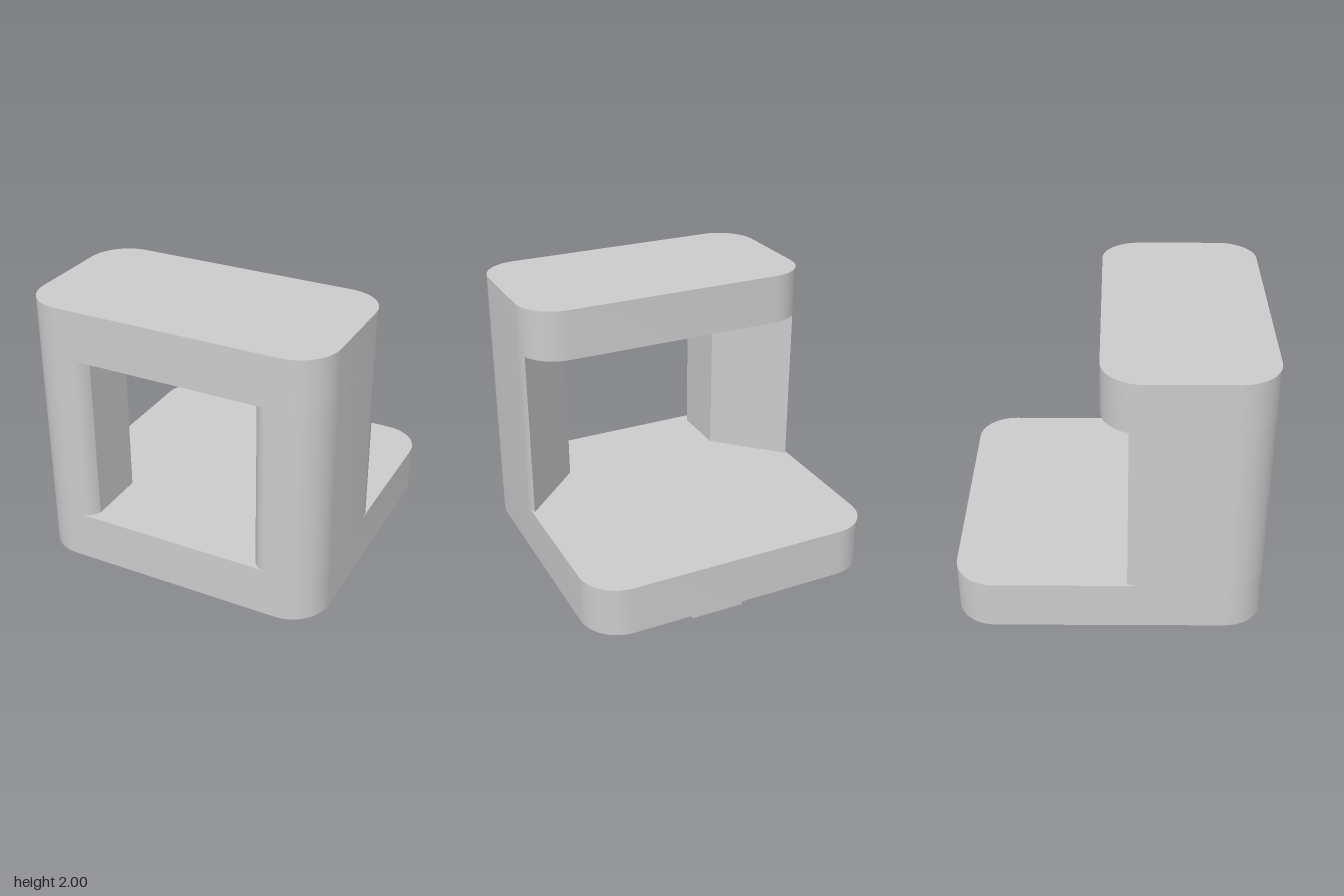
import * as THREE from 'three';
import { toCreasedNormals } from 'three/addons/utils/BufferGeometryUtils.js';

const HALF = 0.965; // half width and half depth
const R = 0.25; // plan corner radius
const BASE_Y = 0.26, SILL_Y = 0.58, LINTEL_Y = 1.68, TOP_Y = 2;

const material = new THREE.MeshStandardMaterial({ color: 0xcccccc });

// Points along an arc in plan (x, z), angles in degrees
function arc(cx, cz, r, from, to, steps = 12) {
  return Array.from({ length: steps + 1 }, (_, i) => {
    const a = THREE.MathUtils.degToRad(from + (to - from) * i / steps);
    return new THREE.Vector2(cx + r * Math.cos(a), cz + r * Math.sin(a));
  });
}

// Extrude a plan outline (x, z) upward between two heights
function slab(name, points, bottom, top) {
  const geometry = new THREE.ExtrudeGeometry(new THREE.Shape(points), {
    depth: top - bottom, bevelEnabled: false,
  });
  geometry.rotateX(Math.PI / 2).translate(0, top, 0);
  const mesh = new THREE.Mesh(toCreasedNormals(geometry, Math.PI / 7), material);
  mesh.name = name;
  return mesh;
}

// Rounded rectangle in plan, full width, from zBack to the front
function plateOutline(zBack) {
  const x = HALF - R, front = HALF - R, back = zBack + R;
  return [
    ...arc(x, front, R, 0, 90),
    ...arc(-x, front, R, 90, 180),
    ...arc(-x, back, R, 180, 270),
    ...arc(x, back, R, 270, 360),
  ];
}

// Side post: rounded outside, slanted at the back, eased inner front edge
function postOutline(side) {
  const easedEdge = new THREE.QuadraticBezierCurve(
    new THREE.Vector2(0.645, HALF),
    new THREE.Vector2(0.585, HALF),
    new THREE.Vector2(0.55, 0.89),
  ).getPoints(6);
  return [
    ...arc(HALF - R, HALF - R, R, 0, 90),
    ...easedEdge,
    new THREE.Vector2(0.55, 0.505),
    ...arc(HALF - R, 0.19, R, -20, 0, 4),
  ].map((p) => new THREE.Vector2(p.x * side, p.y));
}

// L-shaped hook whose toe points forward, profile in (z, y)
function hook(name, zBack) {
  const profile = [[0, 0], [0.32, 0], [0.32, 0.13], [0.13, 0.13], [0.13, BASE_Y], [0, BASE_Y]];
  const shape = new THREE.Shape(profile.map(([z, y]) => new THREE.Vector2(z, y)));
  const geometry = new THREE.ExtrudeGeometry(shape, { depth: 0.365, bevelEnabled: false });
  geometry.translate(0, 0, -0.1825).rotateY(-Math.PI / 2).translate(0, 0, zBack);
  const mesh = new THREE.Mesh(geometry, material);
  mesh.name = name;
  return mesh;
}

export function createModel() {
  const model = new THREE.Group();
  model.name = 'openStand';
  model.add(
    slab('basePlate', plateOutline(-HALF), BASE_Y, SILL_Y),
    slab('topPlate', plateOutline(-0.06), LINTEL_Y, TOP_Y),
    slab('leftPost', postOutline(1), SILL_Y, LINTEL_Y),
    slab('rightPost', postOutline(-1), SILL_Y, LINTEL_Y),
    hook('frontHook', 0.36),
    hook('backHook', -0.675),
  );
  return model;
}
